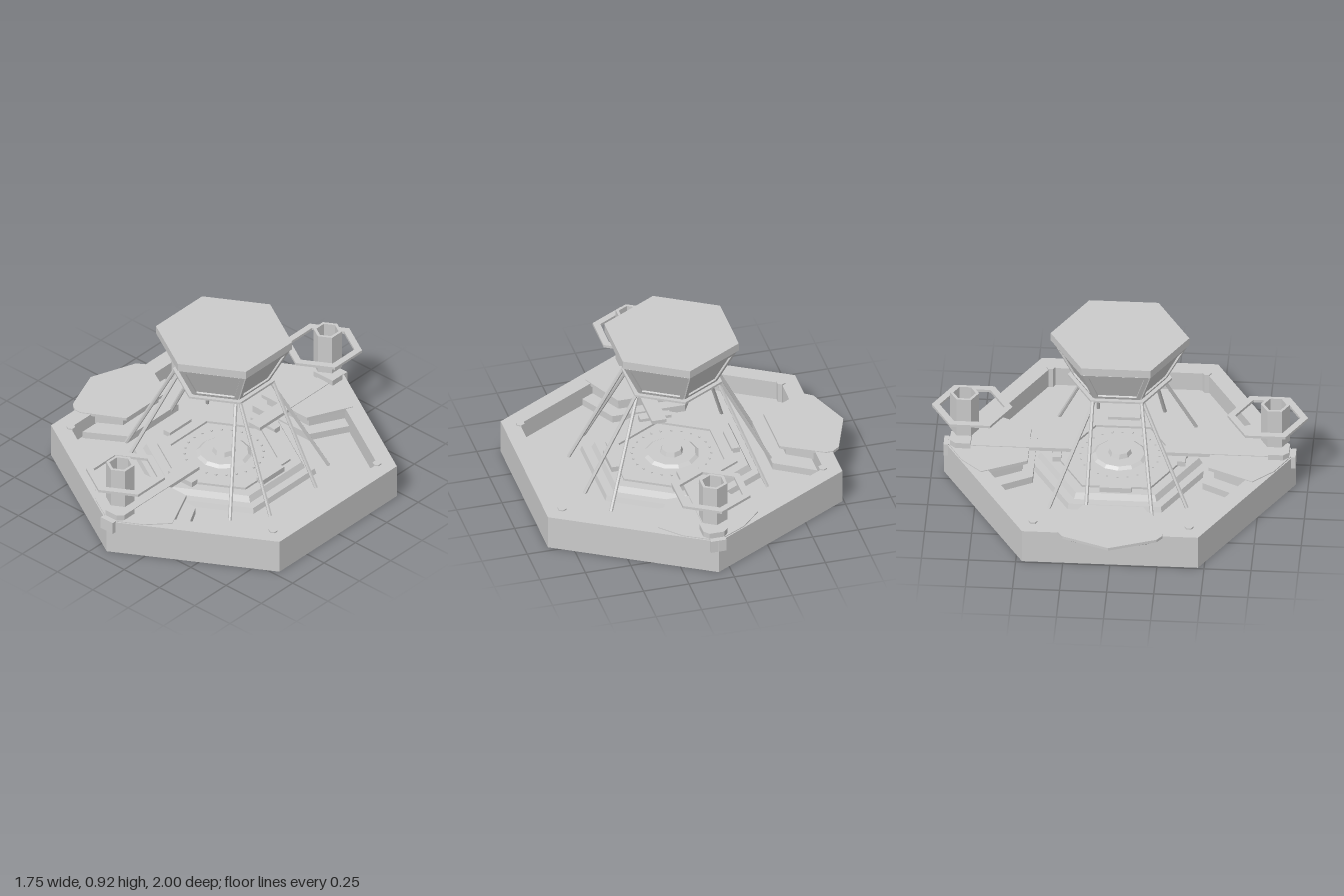
import * as THREE from 'three';
import { ConvexGeometry } from 'three/addons/geometries/ConvexGeometry.js';

const mat = new THREE.MeshStandardMaterial({ color: 0xcccccc, flatShading: true, side: THREE.DoubleSide });

function add(parent, name, geo, x = 0, y = 0, z = 0) {
  const m = new THREE.Mesh(geo, mat);
  m.name = name;
  m.position.set(x, y, z);
  parent.add(m);
  return m;
}

// Hexagon with corners on +z and -z; radii measured to the corners
const hexPoints = (r) => Array.from({ length: 6 }, (_, i) => {
  const a = Math.PI / 2 + i * Math.PI / 3;
  return new THREE.Vector2(r * Math.cos(a), r * Math.sin(a));
});
const hexFrustum = (rTop, rBottom, h, open = false) => new THREE.CylinderGeometry(rTop, rBottom, h, 6, 1, open);

// Upright prism from an outline in x and z, with an optional hole
function prism(points, y0, y1, hole) {
  const shape = new THREE.Shape(points);
  if (hole) shape.holes.push(new THREE.Path(hole));
  const g = new THREE.ExtrudeGeometry(shape, { depth: y1 - y0, bevelEnabled: false });
  return g.rotateX(Math.PI / 2).translate(0, y1, 0);
}
const hexRing = (rOut, rIn, y0, y1) => prism(hexPoints(rOut), y0, y1, hexPoints(rIn));

// Mirrors a half outline [x >= 0, z] across x = 0
const mirrored = (half) => [...half, ...half.filter((p) => p[0] > 0).reverse().map(([x, z]) => [-x, z])]
  .map(([x, z]) => new THREE.Vector2(x, z));

function rod(parent, name, a, b, r) {
  const from = new THREE.Vector3(...a), to = new THREE.Vector3(...b);
  const dir = to.clone().sub(from);
  const m = add(parent, name, new THREE.CylinderGeometry(r, r, dir.length(), 6));
  m.position.copy(from).add(to).multiplyScalar(0.5);
  m.quaternion.setFromUnitVectors(new THREE.Vector3(0, 1, 0), dir.normalize());
}

// Hexagonal tray with raised walls
function buildBase(parent) {
  const g = new THREE.Group();
  g.name = 'base';
  add(g, 'floor', prism(hexPoints(0.935), 0, 0.085));
  add(g, 'wall', hexRing(0.935, 0.83, 0.085, 0.193));
  for (const sx of [-1, 1]) for (const sz of [-1, 1])
    add(g, 'cornerStud', new THREE.CylinderGeometry(0.024, 0.024, 0.115, 6), sx * 0.717, 0.143, sz * 0.414);
  parent.add(g);
}

// Stepped platform in the middle of the tray
function buildCentre(parent) {
  const g = new THREE.Group();
  g.name = 'centrePlatform';
  add(g, 'lowerStep', hexFrustum(0.49, 0.5, 0.03), 0, 0.1, 0);
  add(g, 'upperStep', hexFrustum(0.42, 0.44, 0.035), 0, 0.13, 0);
  add(g, 'raisedRing', hexRing(0.36, 0.29, 0.145, 0.16));
  add(g, 'hubPlate', new THREE.CylinderGeometry(0.13, 0.15, 0.015, 12), 0, 0.154, 0);
  add(g, 'hub', new THREE.CylinderGeometry(0.055, 0.065, 0.03, 8), 0, 0.172, 0);
  for (let i = 0; i < 4; i++) {
    const a = i * Math.PI / 2;
    const b = add(g, 'edgeBlock', new THREE.BoxGeometry(0.17, 0.05, 0.045), 0.33 * Math.sin(a), 0.152, 0.33 * Math.cos(a));
    b.rotation.y = a;
  }
  for (let i = 0; i < 24; i++) {
    const a = i * Math.PI / 12;
    add(g, 'floorStud', new THREE.BoxGeometry(0.01, 0.008, 0.01), 0.21 * Math.cos(a), 0.15, 0.21 * Math.sin(a));
  }
  parent.add(g);
}

// Pad, walkway and hovering tower; built facing +z
function buildTowerPad(parent, turn) {
  const g = new THREE.Group();
  g.name = 'towerPad';
  g.rotation.y = turn;
  add(g, 'padStep', prism(mirrored([[0.2, 0.45], [0.31, 0.65], [0.15, 0.74]]), 0.08, 0.125));
  add(g, 'padBlock', prism(mirrored([[0.15, 0.51], [0.25, 0.7], [0.12, 0.77]]), 0.12, 0.18));
  add(g, 'padPlate', prism(mirrored([[0.16, 0.48], [0.275, 0.72], [0.17, 0.83], [0, 0.925]]), 0.178, 0.198));
  add(g, 'walkway', new THREE.BoxGeometry(0.08, 0.02, 0.56), 0, 0.192, 0.52);
  add(g, 'outerBracket', new THREE.BoxGeometry(0.085, 0.07, 0.025), 0, 0.166, 0.922);
  add(g, 'towerFoot', prism([[0.067, 0.79], [0.067, 0.87], [0.04, 0.9], [-0.04, 0.9], [-0.067, 0.87], [-0.067, 0.79]]
    .map((p) => new THREE.Vector2(...p)), 0.195, 0.23));
  add(g, 'towerTube', hexRing(0.077, 0.06, 0.28, 0.51), 0, 0, 0.825);
  add(g, 'towerFloor', hexFrustum(0.065, 0.065, 0.02), 0, 0.3, 0.825);
  add(g, 'hoverRing', hexRing(0.214, 0.173, 0.415, 0.43), 0, 0, 0.785);
  parent.add(g);
}

// Wide pad that overhangs the wall on one side; built along +z, then turned
function buildSidePad(parent) {
  const g = new THREE.Group();
  g.name = 'sidePad';
  g.rotation.y = -Math.PI / 2;
  add(g, 'padStep', prism(mirrored([[0.2, 0.5], [0.33, 0.71]]), 0.08, 0.125));
  add(g, 'padBlock', prism(mirrored([[0.14, 0.59], [0.24, 0.75]]), 0.12, 0.18));
  add(g, 'padPlate', prism(mirrored([[0.16, 0.55], [0.28, 0.77], [0.28, 0.81], [0.25, 0.85], [0, 0.945]]), 0.182, 0.198));
  const tip = [[0, 0.19, 0.945]];
  for (const s of [-1, 1]) tip.push([s * 0.25, 0.19, 0.85], [s * 0.2, 0.16, 0.84], [s * 0.2, 0.16, 0.8], [s * 0.25, 0.19, 0.8]);
  add(g, 'overhang', new ConvexGeometry(tip.map((p) => new THREE.Vector3(...p))));
  add(g, 'outerBracket', new THREE.BoxGeometry(0.09, 0.07, 0.035), 0, 0.157, 0.83);
  parent.add(g);
}

// Splayed legs between the tray floor and the cabin
function buildLegs(parent) {
  const g = new THREE.Group();
  g.name = 'legs';
  const legs = [
    [0.43, -0.35, 0.22, -0.12], [0.52, -0.15, 0.23, -0.13],
    [0.51, 0.205, 0.23, 0.13], [0.38, 0.38, 0.2, 0.13],
  ];
  for (const s of [-1, 1]) for (const [x0, z0, x1, z1] of legs)
    rod(g, 'leg', [s * x0, 0.085, z0], [s * x1, 0.65, z1], 0.0105);
  parent.add(g);
}

// Flared hexagonal cabin with framed windows and a flat roof
function buildCabin(parent) {
  const g = new THREE.Group();
  g.name = 'cabin';
  add(g, 'cabinFloor', hexFrustum(0.277, 0.277, 0.012), 0, 0.65, 0);
  add(g, 'cabinBody', hexFrustum(0.35, 0.24, 0.21), 0, 0.763, 0);
  add(g, 'roof', hexFrustum(0.368, 0.368, 0.046), 0, 0.892, 0);
  const c = Math.cos(Math.PI / 6), tilt = Math.atan2(0.11 * c, 0.21), h = Math.hypot(0.11 * c, 0.21);
  const trapezoid = (lo, hi, y0, y1) => [[-lo, y0], [lo, y0], [hi, y1], [-hi, y1]].map((p) => new THREE.Vector2(...p));
  for (let i = 0; i < 6; i++) {
    const face = new THREE.Group();
    face.name = 'windowSide';
    face.rotation.y = Math.PI / 6 + i * Math.PI / 3;
    const shape = new THREE.Shape(trapezoid(0.121, 0.176, 0, h));
    shape.holes.push(new THREE.Path(trapezoid(0.103, 0.147, 0.022, h - 0.025)));
    const frame = add(face, 'windowFrame', new THREE.ExtrudeGeometry(shape, { depth: 0.01, bevelEnabled: false }), 0, 0.658, 0.24 * c);
    frame.rotation.x = tilt;
    g.add(face);
  }
  parent.add(g);
}

export function createModel() {
  const model = new THREE.Group();
  model.name = 'outpost';
  const body = new THREE.Group();
  body.name = 'structure';
  body.position.x = 0.068;
  model.add(body);
  buildBase(body);
  buildCentre(body);
  buildTowerPad(body, 0);
  buildTowerPad(body, Math.PI);
  buildSidePad(body);
  buildLegs(body);
  buildCabin(body);
  return model;
}
